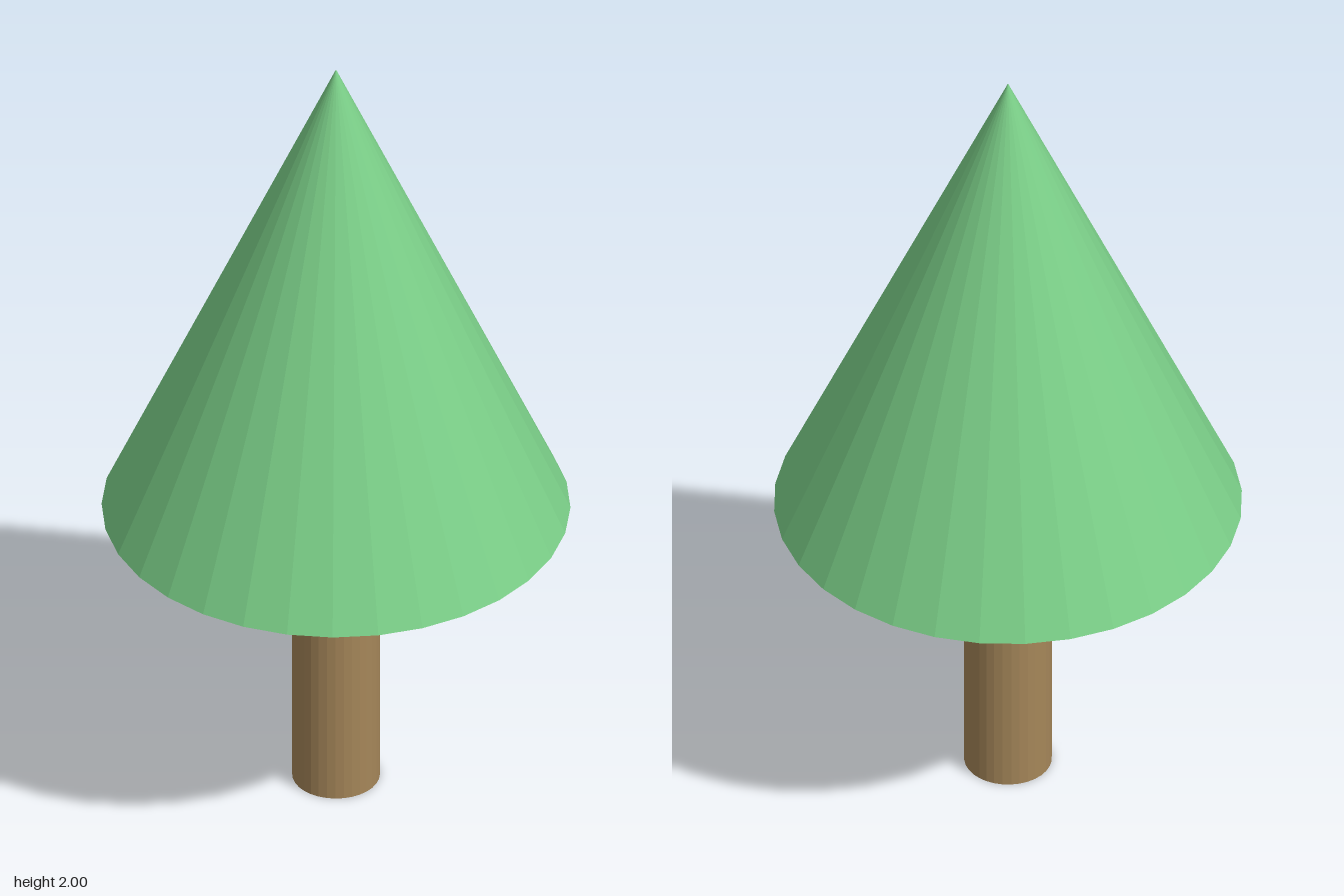
import * as THREE from 'three';

const SIDES = 32;
const TRUNK_TOP = 0.762;
const TREE_TOP = 2;

export function createModel() {
  const tree = new THREE.Group();
  tree.name = 'tree';

  const leafGreen = new THREE.MeshStandardMaterial({ color: 0x7bcf88, flatShading: true });
  leafGreen.name = 'leaf green';
  const barkBrown = new THREE.MeshStandardMaterial({ color: 0xa58659, flatShading: true });
  barkBrown.name = 'bark brown';

  // Straight round trunk
  const trunk = new THREE.Mesh(
    new THREE.CylinderGeometry(0.103, 0.103, TRUNK_TOP, SIDES), barkBrown);
  trunk.name = 'trunk';
  trunk.position.y = TRUNK_TOP / 2;

  // Faceted cone of foliage with a closed underside
  const foliageHeight = TREE_TOP - TRUNK_TOP;
  const foliage = new THREE.Mesh(
    new THREE.ConeGeometry(0.55, foliageHeight, SIDES), leafGreen);
  foliage.name = 'foliage';
  foliage.position.y = TRUNK_TOP + foliageHeight / 2;

  tree.add(trunk, foliage);
  return tree;
}
